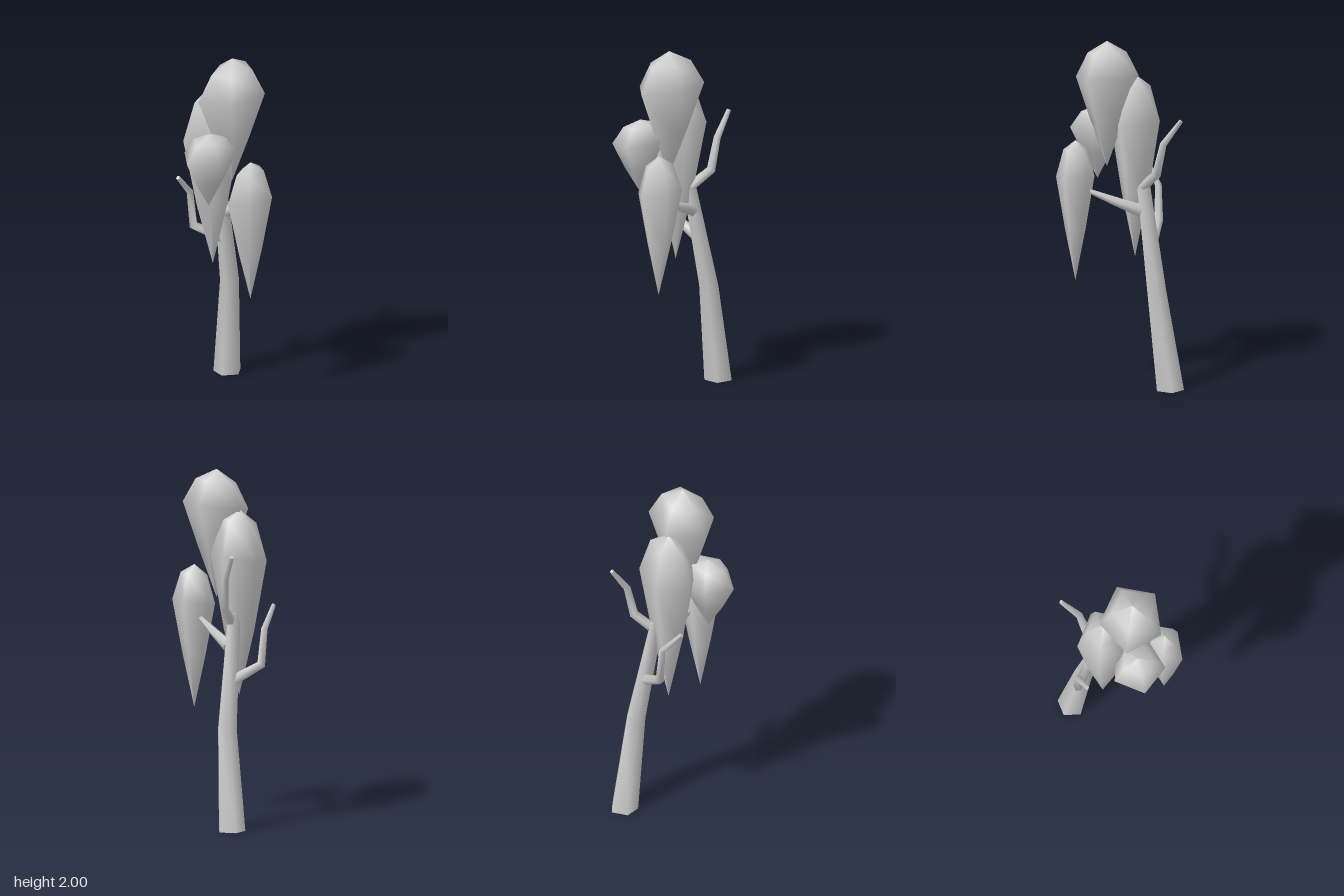
import * as THREE from 'three';

const material = new THREE.MeshStandardMaterial({ color: 0xcccccc, side: THREE.DoubleSide });
const SIDES = 5;

// Tapered five-sided limb through nodes [x, y, z, radius]; level keeps the rings horizontal.
function limb(name, nodes, level = false) {
  const up = new THREE.Vector3(0, 1, 0);
  const points = nodes.map(n => new THREE.Vector3(n[0], n[1], n[2]));
  const pos = [], index = [];
  const last = nodes.length - 1;
  const rings = points.map((p, i) => {
    const dir = points[Math.min(i + 1, last)].clone().sub(points[Math.max(i - 1, 0)]).normalize();
    const q = new THREE.Quaternion();
    if (!level) q.setFromUnitVectors(up, dir);
    return Array.from({ length: SIDES }, (_, k) => {
      const a = (k / SIDES) * Math.PI * 2;
      return new THREE.Vector3(Math.cos(a), 0, -Math.sin(a))
        .multiplyScalar(nodes[i][3]).applyQuaternion(q).add(p);
    });
  });
  rings.forEach(r => r.forEach(v => pos.push(v.x, v.y, v.z)));
  for (let i = 0; i < last; i++) {
    for (let k = 0; k < SIDES; k++) {
      const a = i * SIDES + k, b = i * SIDES + (k + 1) % SIDES;
      index.push(a, b, a + SIDES, b, b + SIDES, a + SIDES);
    }
  }
  // end caps with their own vertices so the rims stay sharp
  for (const end of [0, last]) {
    const base = pos.length / 3;
    rings[end].forEach(v => pos.push(v.x, v.y, v.z));
    for (let k = 1; k < SIDES - 1; k++) {
      if (end) index.push(base, base + k, base + k + 1);
      else index.push(base, base + k + 1, base + k);
    }
  }
  const geo = new THREE.BufferGeometry();
  geo.setAttribute('position', new THREE.Float32BufferAttribute(pos, 3));
  geo.setIndex(index);
  geo.computeVertexNormals();
  const mesh = new THREE.Mesh(geo, material);
  mesh.name = name;
  return mesh;
}

// Teardrop leaf clump: profile of [radius, y] from tip to crown, widest rings tilted up toward +x.
function clump(name, { x, z, sx, sz, turn, profile }) {
  const pts = profile.map(([r, y]) => new THREE.Vector2(r, y));
  const geo = new THREE.LatheGeometry(pts, SIDES, THREE.MathUtils.degToRad(turn + 90));
  geo.scale(sx, 1, sz);
  const p = geo.attributes.position;
  for (let i = 0; i < p.count; i++) p.setY(i, p.getY(i) + 0.16 * p.getX(i));
  const mesh = new THREE.Mesh(geo, material);
  mesh.name = name;
  mesh.position.set(x, 0, z);
  return mesh;
}

export function createModel() {
  const tree = new THREE.Group();
  tree.name = 'tree';

  // leaning trunk
  tree.add(limb('trunk', [
    [0.2, 0, -0.265, 0.081],
    [0.174, 0.57, -0.193, 0.057],
    [0.072, 1.21, -0.13, 0.038],
  ], true));

  // branches
  tree.add(limb('leftBranch', [
    [0.07, 1.14, -0.12, 0.03],
    [0.188, 1.25, -0.19, 0.027],
    [0.21, 1.43, -0.225, 0.021],
    [0.24, 1.57, -0.322, 0.013],
  ]));
  tree.add(limb('rightBranch', [
    [0.135, 0.83, -0.17, 0.034],
    [-0.035, 0.92, -0.24, 0.027],
    [-0.055, 1.12, -0.243, 0.02],
    [-0.16, 1.24, -0.197, 0.013],
  ]));
  tree.add(limb('frontBranch', [
    [0.1, 1.02, -0.12, 0.037],
    [0.085, 1.08, 0.03, 0.026],
    [0.07, 1.14, 0.17, 0.013],
  ]));

  // leaf clumps
  tree.add(clump('topLeaves', {
    x: 0.04, z: 0.065, sx: 0.2, sz: 0.185, turn: 24,
    profile: [[0, 1.27], [0.52, 1.53], [1, 1.79], [0.62, 1.93], [0, 2]],
  }));
  tree.add(clump('rightLeaves', {
    x: -0.125, z: 0.09, sx: 0.16, sz: 0.155, turn: 48,
    profile: [[0, 1.16], [0.55, 1.31], [1, 1.46], [0.6, 1.55], [0, 1.585]],
  }));
  tree.add(clump('backLeaves', {
    x: 0.01, z: -0.1, sx: 0.178, sz: 0.145, turn: 24,
    profile: [[0, 0.73], [0.54, 1.1], [1, 1.51], [0.62, 1.72], [0, 1.79]],
  }));
  tree.add(clump('frontLeaves', {
    x: 0.055, z: 0.247, sx: 0.135, sz: 0.113, turn: 26,
    profile: [[0, 0.62], [0.54, 0.92], [1, 1.22], [0.62, 1.38], [0, 1.435]],
  }));

  return tree;
}
